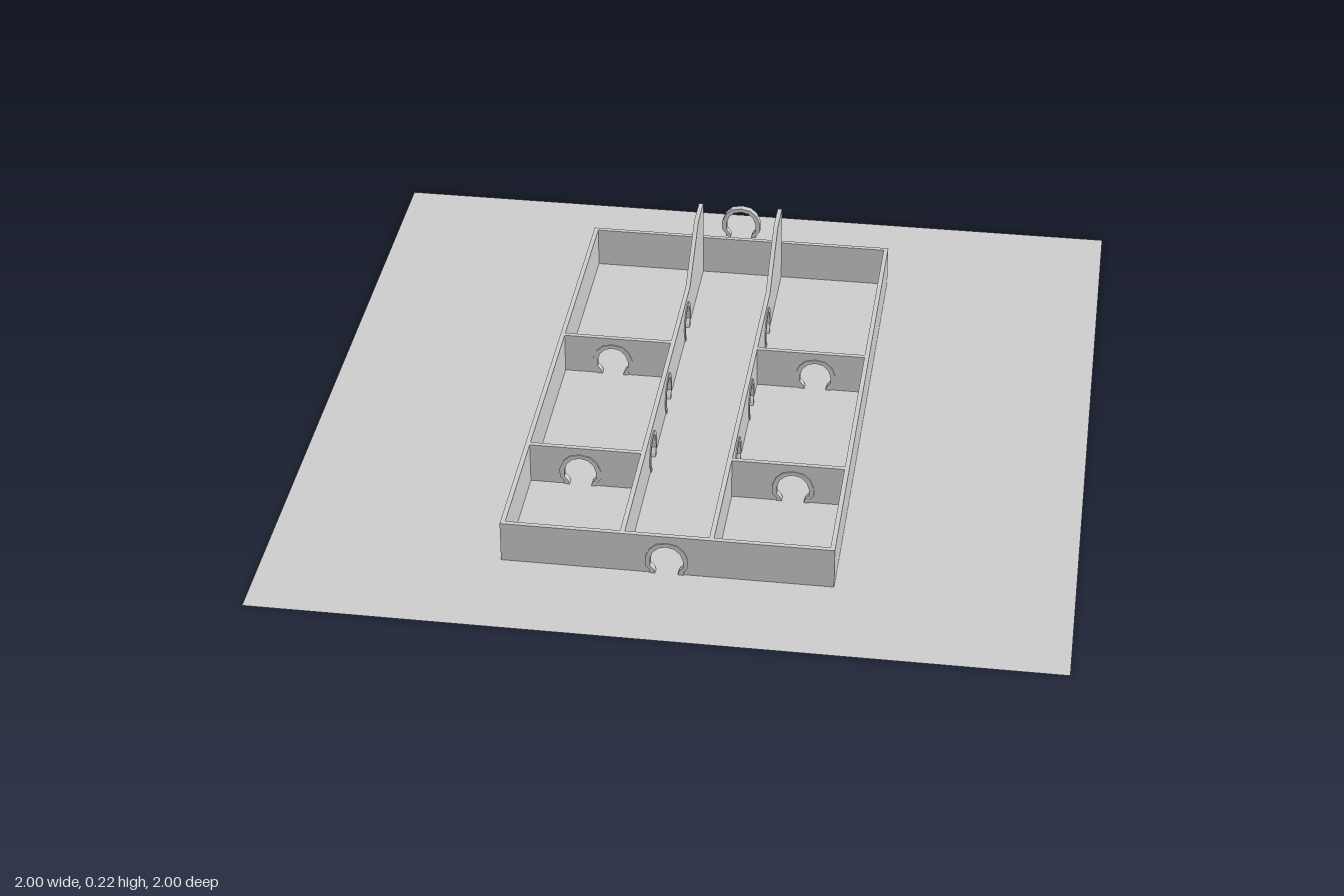
import * as THREE from 'three';

const H = 0.11, T = 0.012; // wall height and thickness
const material = new THREE.MeshStandardMaterial({ color: 0xcccccc, flatShading: true, side: THREE.DoubleSide });

// Right half of the horseshoe arch, from foot to crown
const INNER = [[0.028, 0], [0.031, 0.01], [0.041, 0.022], [0.041, 0.042], [0.034, 0.062], [0.02, 0.076], [0, 0.081]];
const OUTER = [[0.042, 0], [0.043, 0.01], [0.053, 0.022], [0.053, 0.046], [0.043, 0.07], [0.026, 0.086], [0, 0.091]];

// Whole arch running from the left foot over the crown to the right foot
const arch = (half, cx = 0) => [
  ...half.map(([x, y]) => new THREE.Vector2(cx - x, y)),
  ...half.slice(0, -1).reverse().map(([x, y]) => new THREE.Vector2(cx + x, y)),
];

function extrude(name, points, depth) {
  const geo = new THREE.ExtrudeGeometry(new THREE.Shape(points), { depth, bevelEnabled: false });
  geo.translate(0, 0, -depth / 2);
  const mesh = new THREE.Mesh(geo, material);
  mesh.name = name;
  return mesh;
}

const archFrame = () => extrude('archFrame', [...arch(OUTER), ...arch(INNER).reverse()], 0.018);

// Wall along local x from a to b, with a framed arch at each door position
function wall(name, a, b, doors = []) {
  const group = new THREE.Group();
  group.name = name;
  const points = [new THREE.Vector2(a, 0)];
  for (const d of doors) points.push(...arch(INNER, d));
  points.push(new THREE.Vector2(b, 0), new THREE.Vector2(b, H), new THREE.Vector2(a, H));
  group.add(extrude('wallPanel', points, T));
  for (const d of doors) {
    const frame = archFrame();
    frame.position.x = d;
    group.add(frame);
  }
  return group;
}

export function createModel() {
  const model = new THREE.Group();
  const front = 0.726, back = -0.686, side = 0.407, aisle = 0.11;

  // Ground sheet
  const ground = new THREE.Mesh(new THREE.PlaneGeometry(2, 2), material);
  ground.name = 'groundSheet';
  ground.rotation.x = -Math.PI / 2;
  model.add(ground);

  // Front wall with entrance, and plain back wall
  const frontWall = wall('frontWall', -side - T / 2, side + T / 2, [0]);
  frontWall.position.z = front;
  const backWall = wall('backWall', -side - T / 2, side + T / 2);
  backWall.position.z = back;
  model.add(frontWall, backWall);

  for (const s of [-1, 1]) {
    // Lengthwise walls: local x becomes -z
    const outer = wall('sideWall', -front, -back);
    outer.rotation.y = Math.PI / 2;
    outer.position.x = s * side;
    const inner = wall('aisleWall', -front, -back, [-0.27, 0, 0.355]);
    inner.rotation.y = Math.PI / 2;
    inner.position.x = s * aisle;
    model.add(outer, inner);

    // Sloped wing rising above the aisle wall at the back
    const wing = extrude('aisleWing', [[0.415, H], [0.68, H], [0.68, 0.22], [0.585, 0.22]]
      .map(([x, y]) => new THREE.Vector2(x, y)), T);
    wing.rotation.y = Math.PI / 2;
    wing.position.x = s * aisle;
    model.add(wing);

    // Cross walls between the side rooms
    for (const z of [-0.136, 0.382]) {
      const cross = s < 0 ? wall('crossWall', -side, -aisle, [-0.272]) : wall('crossWall', aisle, side, [0.272]);
      cross.position.z = z;
      model.add(cross);
    }
  }

  // Raised arch behind the back wall
  const raised = archFrame();
  raised.name = 'raisedArch';
  raised.position.set(0, H, -0.705);
  model.add(raised);

  return model;
}
